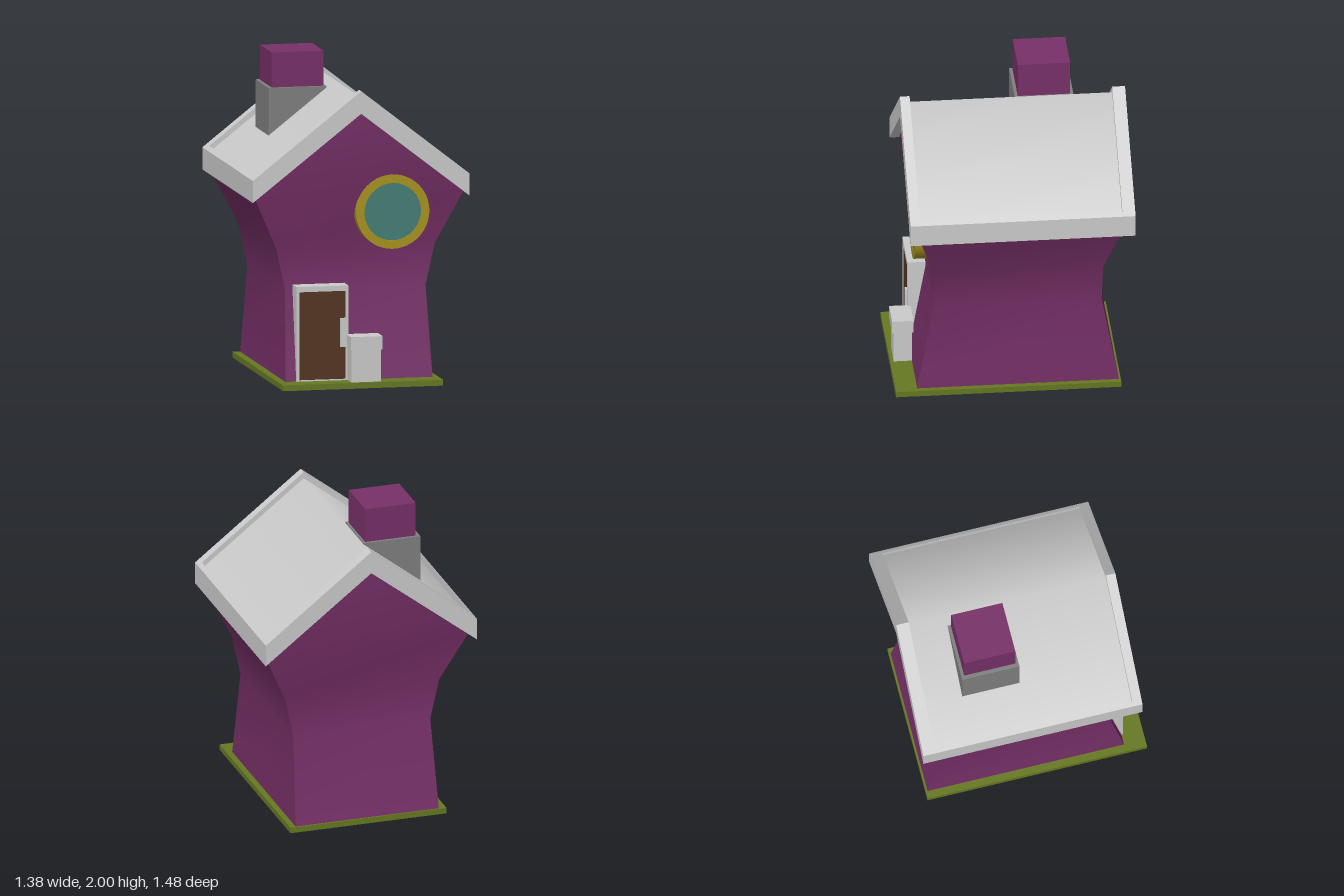
import * as THREE from 'three';
import { toCreasedNormals } from 'three/addons/utils/BufferGeometryUtils.js';

const mat = (color) => new THREE.MeshStandardMaterial({ color });
const grey = mat(0xcccccc), darkGrey = mat(0x808080), purple = mat(0x773068);
const green = mat(0x667822), gold = mat(0xa89520), teal = mat(0x457f79), brown = mat(0x553522);
green.side = THREE.DoubleSide;

export function createModel() {
  const house = new THREE.Group();
  house.name = 'house';

  const add = (name, geometry, material, parent = house) => {
    const mesh = new THREE.Mesh(geometry, material);
    mesh.name = name;
    parent.add(mesh);
    return mesh;
  };
  // Box given by its limits on each axis
  const box = (name, material, [x0, x1], [y0, y1], [z0, z1]) =>
    add(name, new THREE.BoxGeometry(x1 - x0, y1 - y0, z1 - z0)
      .translate((x0 + x1) / 2, (y0 + y1) / 2, (z0 + z1) / 2), material);
  // Flat outline pushed from z0 to z1
  const prism = (name, shape, z0, z1, material, parent) =>
    add(name, new THREE.ExtrudeGeometry(shape, { depth: z1 - z0, bevelEnabled: false, curveSegments: 24 })
      .translate(0, 0, z0), material, parent);
  const outline = (points) => new THREE.Shape(points.map(([x, y]) => new THREE.Vector2(x, y)));

  // Ground: a shallow tray turned over, open underneath
  const ground = box('ground', green, [-0.515, 0.505], [0, 0.036], [-0.667, 0.738]).geometry;
  const faces = Array.from(ground.index.array);
  faces.splice(18, 6); // bottom side of the box
  ground.setIndex(faces);
  ground.clearGroups();

  // Walls: pinched waist, flaring up to the eaves, closed by two gables
  const levels = [ // y, half width, front z, back z
    [0.036, 0.468, 0.602, -0.655],
    [0.6, 0.447, 0.5, -0.549],
    [0.86, 0.505, 0.5, -0.553],
    [1.198, 0.665, 0.605, -0.658],
  ];
  const positions = [], index = [];
  for (const [y, w, f, b] of levels) positions.push(w, y, f, w, y, b, -w, y, b, -w, y, f);
  for (let l = 0; l < levels.length - 1; l++) {
    for (let i = 0; i < 4; i++) {
      const a = l * 4 + i, b = l * 4 + (i + 1) % 4;
      index.push(a, b, b + 4, a, b + 4, a + 4);
    }
  }
  const top = (levels.length - 1) * 4;
  positions.push(0, 1.715, 0.605, 0, 1.715, -0.658);
  index.push(top + 3, top, top + 4, top + 1, top + 2, top + 5);
  const walls = new THREE.BufferGeometry();
  walls.setAttribute('position', new THREE.Float32BufferAttribute(positions, 3));
  walls.setIndex(index);
  add('walls', toCreasedNormals(walls, 0.6), purple);

  // Roof: raised gable boards and eave lips around a sunken panel
  const roof = new THREE.Group();
  roof.name = 'roof';
  house.add(roof);
  const board = outline([
    [0, 1.855], [-0.69, 1.315], [-0.69, 1.176], [0, 1.713], [0.69, 1.176], [0.69, 1.315],
  ]);
  prism('frontGableBoard', board, 0.605, 0.665, grey, roof);
  prism('backGableBoard', board, -0.738, -0.658, grey, roof);
  for (const s of [1, -1]) {
    const lip = outline([[s * 0.665, 1.335], [s * 0.665, 1.196], [s * 0.69, 1.176], [s * 0.69, 1.315]]);
    prism(s > 0 ? 'leftEaveLip' : 'rightEaveLip', lip, -0.658, 0.605, grey, roof);
  }
  // Covering shades smoothly over the ridge
  const slope = 0.782;
  const panel = new THREE.PlaneGeometry(1.33, 1.263, 2, 1).rotateX(-Math.PI / 2).translate(0, 1.815, -0.0265);
  const { position, normal } = panel.attributes;
  const n = new THREE.Vector3();
  for (let i = 0; i < position.count; i++) {
    const x = position.getX(i);
    position.setY(i, 1.815 - slope * Math.abs(x));
    n.set(Math.abs(x) > 0.1 ? slope * Math.sign(x) : 0, 1, 0).normalize();
    normal.setXYZ(i, n.x, n.y, n.z);
  }
  add('roofPanel', panel, grey, roof);

  // Chimney
  box('chimneyBase', darkGrey, [-0.425, -0.055], [1.45, 1.78], [-0.422, -0.056]);
  box('chimneyTop', purple, [-0.4, -0.07], [1.78, 2], [-0.403, -0.076]);

  // Round window
  const ring = new THREE.Shape().absarc(0.213, 1.083, 0.233, 0, Math.PI * 2);
  ring.holes.push(new THREE.Path().absarc(0.213, 1.083, 0.18, 0, Math.PI * 2, true));
  const frameMesh = prism('windowFrame', ring, 0.5, 0.612, gold);
  frameMesh.geometry = toCreasedNormals(frameMesh.geometry, 0.6);
  add('windowGlass', new THREE.CircleGeometry(0.182, 24).translate(0.213, 1.083, 0.607), teal);

  // Door
  const frame = outline([[-0.4, 0.036], [-0.07, 0.036], [-0.07, 0.63], [-0.4, 0.63]]);
  frame.holes.push(outline([[-0.382, 0.044], [-0.382, 0.597], [-0.088, 0.597], [-0.088, 0.044]]));
  prism('doorFrame', frame, 0.5, 0.612, grey);
  box('door', brown, [-0.384, -0.086], [0.042, 0.599], [0.59, 0.606]);
  box('doorHandle', grey, [-0.123, -0.085], [0.247, 0.427], [0.6, 0.624]);

  // Box with a lid beside the door
  box('binBody', grey, [-0.075, 0.115], [0.03, 0.238], [0.6, 0.715]);
  box('binLid', grey, [-0.08, 0.122], [0.238, 0.322], [0.592, 0.725]);

  return house;
}
